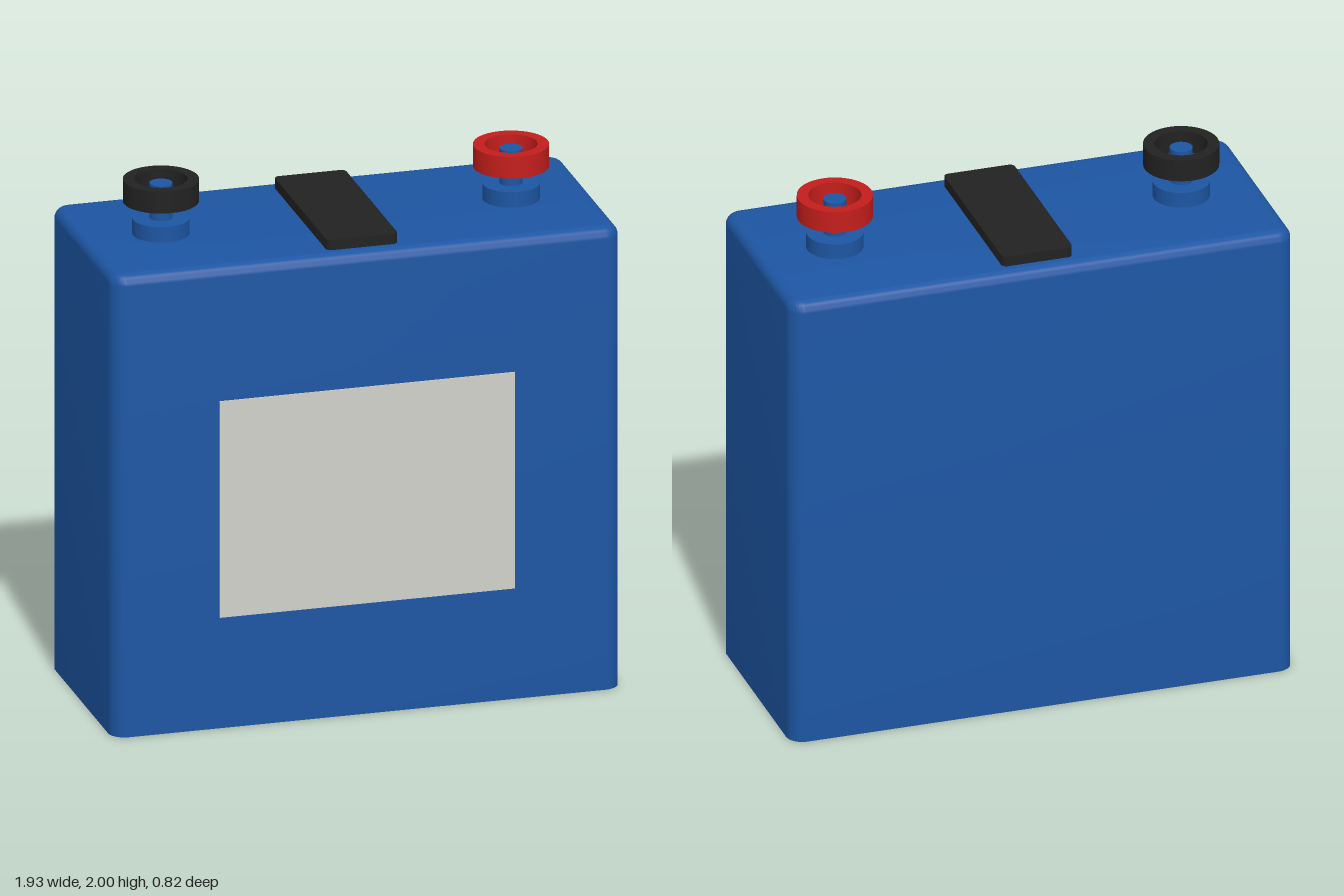
import * as THREE from 'three';
import { toCreasedNormals } from 'three/addons/utils/BufferGeometryUtils.js';

const BLUE = 0x1d56a3, BLACK = 0x222222, RED = 0xc41e1c, LABEL = 0xd2d2cc;
const CENTRE_Z = -0.002, TOP = 1.79;

function part(name, geometry, color, x = 0, y = 0, z = 0) {
  const mesh = new THREE.Mesh(geometry, new THREE.MeshStandardMaterial({ color }));
  mesh.name = name;
  mesh.position.set(x, y, z);
  return mesh;
}

// Rounded rectangle centred on the origin
function roundedRect(w, d, r) {
  const s = new THREE.Shape(), x = w / 2, y = d / 2;
  s.absarc(x - r, y - r, r, 0, Math.PI / 2);
  s.absarc(r - x, y - r, r, Math.PI / 2, Math.PI);
  s.absarc(r - x, r - y, r, Math.PI, Math.PI * 1.5);
  s.absarc(x - r, r - y, r, Math.PI * 1.5, Math.PI * 2);
  s.closePath();
  return s;
}

// Upright slab standing on y = 0, with a rounded top rim and a flat, sharp base
function slab(w, d, h, r, bevel) {
  const g = new THREE.ExtrudeGeometry(roundedRect(w, d, r), {
    depth: h - bevel, curveSegments: 8, bevelEnabled: bevel > 0,
    bevelThickness: bevel, bevelSize: bevel, bevelOffset: -bevel, bevelSegments: 6,
  });
  g.rotateX(-Math.PI / 2);
  const p = g.attributes.position;
  for (let i = 0; i < p.count; i++) p.setY(i, Math.max(0, p.getY(i)));
  return toCreasedNormals(g, 0.6);
}

// Square-edged ring turned about y
function ring(inner, outer, h) {
  const profile = [[inner, 0], [outer, 0], [outer, h], [inner, h], [inner, 0]]
    .map(([x, y]) => new THREE.Vector2(x, y));
  return toCreasedNormals(new THREE.LatheGeometry(profile, 48), 0.6);
}

// Collar, threaded post and coloured ring nut
function terminal(name, x, color) {
  const g = new THREE.Group();
  g.name = name;
  g.position.set(x, TOP, CENTRE_Z);
  g.add(
    part('terminalCollar', new THREE.CylinderGeometry(0.105, 0.105, 0.06, 48), BLUE, 0, 0.03),
    part('terminalPost', new THREE.CylinderGeometry(0.042, 0.042, 0.195, 32), BLUE, 0, 0.0975),
    part('terminalRing', ring(0.097, 0.139, 0.085), color, 0, 0.125),
  );
  return g;
}

export function createModel() {
  const model = new THREE.Group();
  model.name = 'batteryCell';
  model.add(
    part('case', slab(1.93, 0.82, TOP, 0.062, 0.04), BLUE, 0, 0, CENTRE_Z),
    part('ventCover', slab(0.27, 0.7, 0.04, 0.02, 0), BLACK, 0, TOP, CENTRE_Z),
    part('frontLabel', new THREE.BoxGeometry(1.12, 0.84, 0.008), LABEL, 0, 0.85, 0.408),
    terminal('negativeTerminal', -0.664, BLACK),
    terminal('positiveTerminal', 0.664, RED),
  );
  return model;
}
